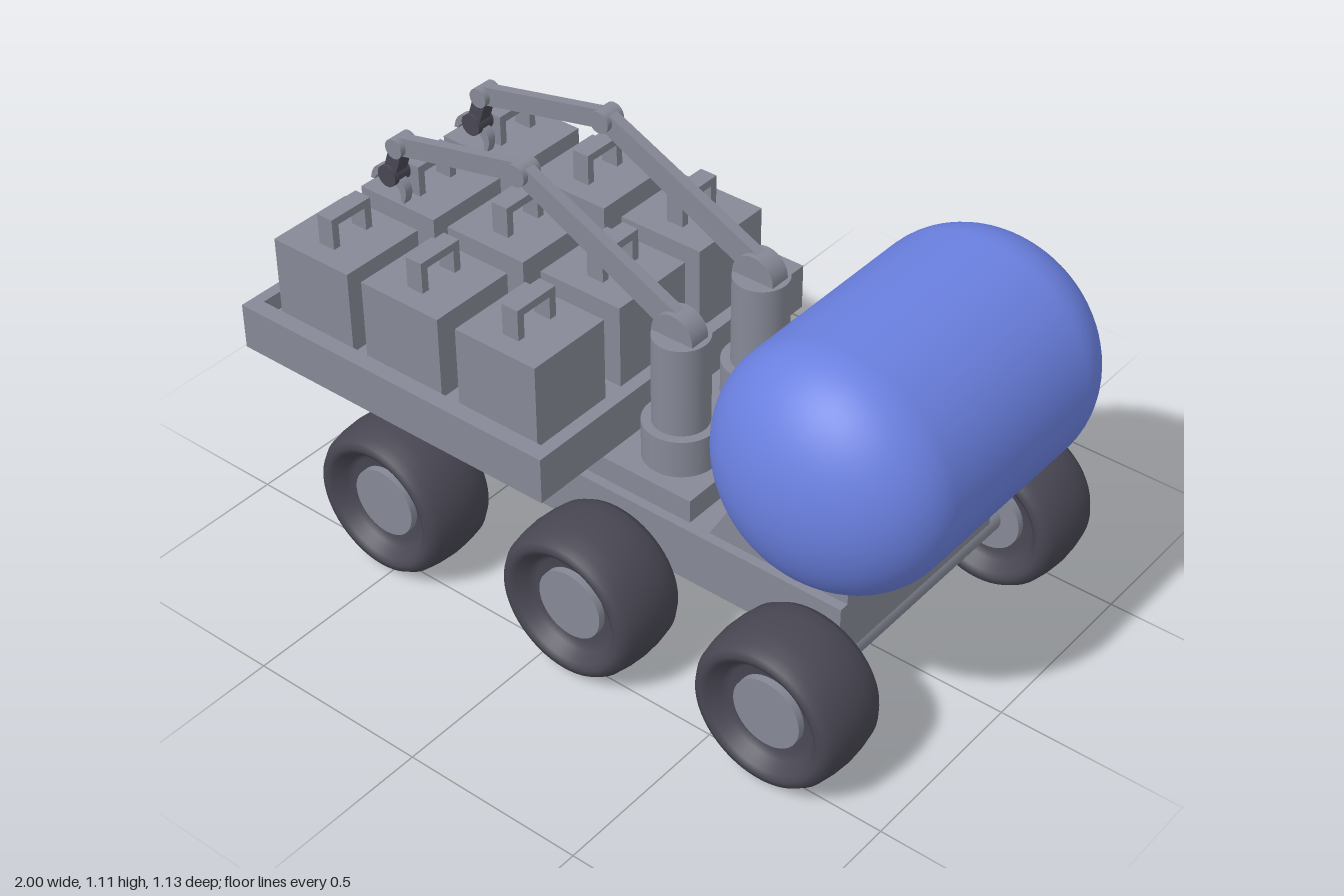
import * as THREE from 'three';

const paint = (name, color) => {
  const m = new THREE.MeshStandardMaterial({ color });
  m.name = name;
  return m;
};

export function createModel() {
  const grey = paint('metal grey', 0x868996);
  const blue = paint('tank blue', 0x6a80e0);
  const dark = paint('rubber dark', 0x484753);
  const root = new THREE.Group();
  root.name = 'cargoRover';

  const add = (parent, name, geo, mat, x = 0, y = 0, z = 0) => {
    const m = new THREE.Mesh(geo, mat);
    m.name = name;
    m.position.set(x, y, z);
    parent.add(m);
    return m;
  };
  const group = (parent, name, x = 0, y = 0, z = 0) => {
    const g = new THREE.Group();
    g.name = name;
    g.position.set(x, y, z);
    parent.add(g);
    return g;
  };
  // Box given by its limits
  const box = (parent, name, x0, x1, y0, y1, z0, z1, mat = grey) =>
    add(parent, name, new THREE.BoxGeometry(x1 - x0, y1 - y0, z1 - z0), mat,
      (x0 + x1) / 2, (y0 + y1) / 2, (z0 + z1) / 2);
  // Cylinder lying along z
  const rod = (r, len) => new THREE.CylinderGeometry(r, r, len, 40).rotateX(Math.PI / 2);
  // Shape in the xy plane, thickened evenly about z = 0
  const slab = (shape, depth) =>
    new THREE.ExtrudeGeometry(shape, { depth, bevelEnabled: false, curveSegments: 16 }).translate(0, 0, -depth / 2);
  // Tapered bar with round ends
  const bar = (x1, y1, r1, x2, y2, r2, depth) => {
    const a = Math.atan2(y2 - y1, x2 - x1);
    const b = Math.acos((r1 - r2) / Math.hypot(x2 - x1, y2 - y1));
    const s = new THREE.Shape();
    s.absarc(x2, y2, r2, a - b, a + b, false);
    s.absarc(x1, y1, r1, a + b, a - b + Math.PI * 2, false);
    s.closePath();
    return slab(s, depth);
  };

  // Chassis and deck
  box(root, 'chassis', -0.53, 0.735, 0.25, 0.405, -0.316, 0.316);
  box(root, 'deckPlate', -0.53, 0.27, 0.405, 0.47, -0.29, 0.29);

  // Tank cradle
  const cradle = new THREE.Shape([[0.33, 0.405], [0.735, 0.405], [0.735, 0.5], [0.68, 0.6], [0.44, 0.6]]
    .map(([x, y]) => new THREE.Vector2(x, y)));
  add(root, 'tankCradle', slab(cradle, 0.58), grey);

  // Tank: cylinder with elliptical ends
  const tankProfile = [];
  for (const side of [-1, 1]) {
    for (let i = 0; i <= 20; i++) {
      const t = (side < 0 ? i : 20 - i) / 20 * Math.PI / 2;
      tankProfile.push(new THREE.Vector2(0.315 * Math.sin(t), side * (0.27 + 0.243 * Math.cos(t))));
    }
  }
  add(root, 'tank', new THREE.LatheGeometry(tankProfile, 72).rotateX(Math.PI / 2), blue, 0.68, 0.785, 0);

  // Wheels and axles
  const half = [[0.21, 0], [0.207, 0.045], [0.2, 0.085], [0.187, 0.106], [0.17, 0.111],
    [0.155, 0.104], [0.135, 0.075], [0.12, 0.06], [0.06, 0.06]];
  const tyreProfile = [
    ...half.slice(1).reverse().map(([r, z]) => new THREE.Vector2(r, -z)),
    ...half.map(([r, z]) => new THREE.Vector2(r, z)),
  ];
  const tyre = new THREE.LatheGeometry(tyreProfile, 56).rotateX(Math.PI / 2);
  const hub = rod(0.095, 0.16);
  for (const x of [-0.52, 0.095, 0.69]) {
    add(root, 'axle', rod(0.042, 0.9), grey, x, 0.215, 0);
    for (const side of [-1, 1]) {
      const wheel = group(root, 'wheel', x, 0.215, side * 0.455);
      add(wheel, 'tyre', tyre, dark);
      add(wheel, 'hub', hub, grey);
    }
  }

  // Cargo bed: floor and raised rim
  const bed = group(root, 'cargoBed');
  box(bed, 'bedFloor', -1, 0, 0.47, 0.55, -0.515, 0.515);
  for (const s of [-1, 1]) {
    box(bed, 'bedSideRim', -1, 0, 0.55, 0.6, s * 0.4925 - 0.0225, s * 0.4925 + 0.0225);
  }
  box(bed, 'bedRearRim', -1, -0.967, 0.55, 0.6, -0.47, 0.47);
  box(bed, 'bedFrontRim', -0.033, 0, 0.55, 0.6, -0.47, 0.47);

  // Crates with staple handles
  for (const x of [-0.815, -0.515, -0.205]) {
    for (const z of [-0.31, 0, 0.31]) {
      const crate = group(root, 'crate', x, 0, z);
      box(crate, 'crateBody', -0.126, 0.126, 0.55, 0.785, -0.126, 0.126);
      box(crate, 'handleGrip', -0.025, 0.025, 0.85, 0.872, -0.068, 0.068);
      for (const s of [-1, 1]) {
        box(crate, 'handleLeg', -0.025, 0.025, 0.785, 0.85, s * 0.057 - 0.011, s * 0.057 + 0.011);
      }
    }
  }

  // Curved gripper jaw, s picks the side
  const jaw = (s) => {
    const p = new THREE.Shape();
    p.moveTo(0, 0.012);
    p.quadraticCurveTo(s * 0.068, 0.012, s * 0.058, -0.055);
    p.lineTo(s * 0.046, -0.05);
    p.quadraticCurveTo(s * 0.045, -0.016, 0, -0.016);
    p.closePath();
    return slab(p, 0.024);
  };

  // Two loading arms
  for (const z of [-0.155, 0.155]) {
    const arm = group(root, 'loadingArm', 0, 0, z);
    add(arm, 'pedestalBase', new THREE.CylinderGeometry(0.098, 0.098, 0.105, 40), grey, 0.135, 0.5225, 0);
    add(arm, 'column', new THREE.CylinderGeometry(0.073, 0.073, 0.25, 40), grey, 0.135, 0.7, 0);
    add(arm, 'shoulder', rod(0.062, 0.06), grey, 0.13, 0.828, 0);
    add(arm, 'upperArm', bar(0.13, 0.85, 0.037, -0.35, 1.083, 0.028, 0.03), grey);
    add(arm, 'elbow', rod(0.03, 0.062), grey, -0.35, 1.083, 0);
    add(arm, 'forearm', bar(-0.35, 1.083, 0.026, -0.755, 0.998, 0.026, 0.026), grey);
    add(arm, 'wristJoint', rod(0.027, 0.06), grey, -0.755, 0.998, 0);
    add(arm, 'wristLink', bar(-0.755, 0.998, 0.02, -0.787, 0.905, 0.02, 0.04), dark);
    add(arm, 'gripperPin', rod(0.03, 0.056), dark, -0.787, 0.905, 0);
    const gripper = group(arm, 'gripper', -0.787, 0.9, 0);
    gripper.rotation.z = -0.32;
    for (const s of [-1, 1]) add(gripper, 'jaw', jaw(s), grey);
  }

  return root;
}
